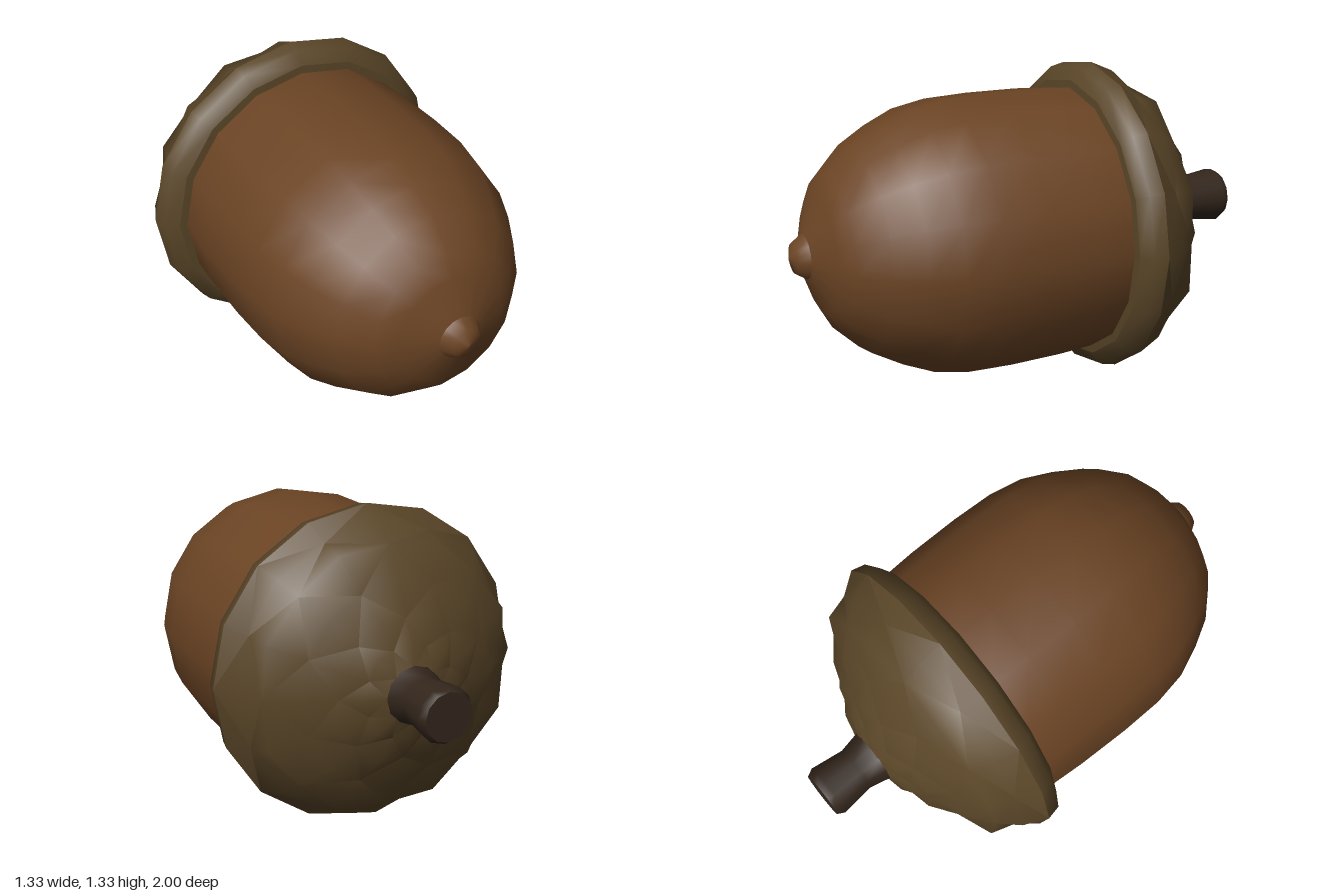
import * as THREE from 'three';
import { mergeGeometries } from 'three/addons/utils/BufferGeometryUtils.js';

const SIDES = 16;
const AXIS_HEIGHT = 0.665;

const material = (color) => new THREE.MeshStandardMaterial({ color, side: THREE.DoubleSide });

// Lathe around the z axis; profile is [radius, z] with z rising
function turned(profile, sides = SIDES) {
  const points = profile.map(([r, z]) => new THREE.Vector2(r, z));
  return new THREE.LatheGeometry(points, sides).rotateX(Math.PI / 2);
}

// Staggered rows of diamond scales, each with a raised centre and creased border
function scales(rings) {
  const step = (Math.PI * 2) / SIDES;
  const last = rings.length - 1;
  const diamonds = [];
  const corner = (ring, column, lift = 0) => {
    const [r, z] = rings[Math.min(last, Math.max(0, ring))];
    const a = column * step;
    return [(r + lift) * Math.cos(a), (r + lift) * Math.sin(a), z - lift * 0.5];
  };
  for (let row = 0; row <= last; row++) {
    for (let col = (row + 1) % 2; col < SIDES; col += 2) {
      const lift = row === 0 || row === last ? 0 : 0.022;
      const position = [
        corner(row, col, lift), corner(row, col + 1), corner(row - 1, col),
        corner(row, col - 1), corner(row + 1, col),
      ].flat();
      const index = [];
      if (row > 0) index.push(0, 1, 2, 0, 2, 3);
      if (row < last) index.push(0, 3, 4, 0, 4, 1);
      const g = new THREE.BufferGeometry();
      g.setAttribute('position', new THREE.Float32BufferAttribute(position, 3));
      g.setIndex(index);
      g.computeVertexNormals();
      diamonds.push(g);
    }
  }
  return mergeGeometries(diamonds);
}

export function createModel() {
  const model = new THREE.Group();
  model.name = 'acorn';
  const shell = material(0x6b4424);
  const bark = material(0x5a4628);
  const wood = material(0x33261c);

  const add = (parent, name, geometry, mat) => {
    const mesh = new THREE.Mesh(geometry, mat);
    mesh.name = name;
    parent.add(mesh);
  };

  // Nut body and its small pointed tip
  const nut = new THREE.Group();
  nut.name = 'nut';
  add(nut, 'nutBody', turned([
    [0.55, -0.32], [0.563, -0.25], [0.573, -0.1], [0.578, 0.13], [0.573, 0.32], [0.547, 0.47],
    [0.492, 0.6], [0.425, 0.72], [0.32, 0.83], [0.24, 0.875], [0.09, 0.935],
  ]), shell);
  add(nut, 'nutTip', turned([[0.095, 0.93], [0.062, 0.98], [0, 1]]), shell);
  model.add(nut);

  // Cap: rolled rim, underside lip and scaled dome
  const cap = new THREE.Group();
  cap.name = 'cap';
  add(cap, 'capRim', turned([[0.663, -0.35], [0.65, -0.29], [0.595, -0.255]]), bark);
  add(cap, 'capLip', turned([[0.595, -0.255], [0.55, -0.25]]), bark);
  add(cap, 'capScales', scales([
    [0.663, -0.35], [0.595, -0.44], [0.542, -0.53], [0.41, -0.605],
    [0.285, -0.67], [0.19, -0.71], [0.11, -0.745],
  ]), bark);
  model.add(cap);

  // Stem flaring at both ends, with a flat cut end
  const stem = new THREE.Group();
  stem.name = 'stem';
  add(stem, 'stemSide', turned([
    [0.1, -1], [0.116, -0.97], [0.098, -0.83], [0.118, -0.74], [0.14, -0.71],
  ], 12), wood);
  add(stem, 'stemEnd', turned([[0, -1], [0.1, -1]], 12), wood);
  model.add(stem);

  model.position.y = AXIS_HEIGHT;
  return model;
}
